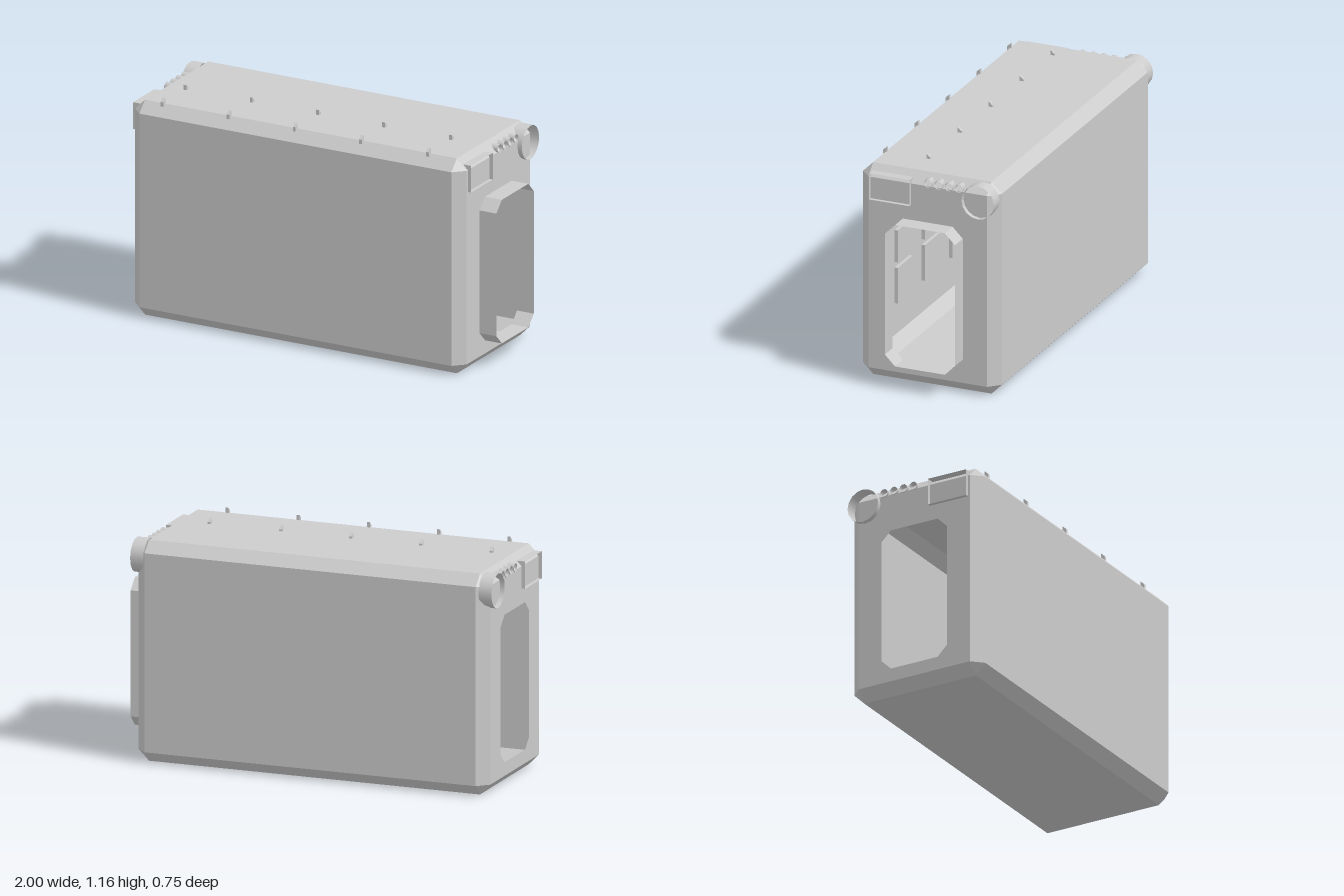
import * as THREE from 'three';
import { ConvexGeometry } from 'three/addons/geometries/ConvexGeometry.js';

const grey = new THREE.MeshStandardMaterial({ color: 0xcccccc, side: THREE.DoubleSide });
grey.name = 'plain grey';

const HX = 0.94, HZ = 0.377, H = 1.13, C = 0.056;

// rectangle with cut corners, as [z, y] points
function cutRect(hw, y0, y1, c) {
  return [[-hw + c, y0], [hw - c, y0], [hw, y0 + c], [hw, y1 - c],
    [hw - c, y1], [-hw + c, y1], [-hw, y1 - c], [-hw, y0 + c]];
}

// open tube along x with a [z, y] outline
function openSleeve(outline, x0, x1) {
  const pos = [];
  outline.forEach(([z, y], i) => {
    const [z2, y2] = outline[(i + 1) % outline.length];
    pos.push(x0, y, z, x1, y, z, x1, y2, z2, x0, y, z, x1, y2, z2, x0, y2, z2);
  });
  const g = new THREE.BufferGeometry();
  g.setAttribute('position', new THREE.Float32BufferAttribute(pos, 3));
  g.computeVertexNormals();
  return g;
}

// chamfered hollow skin without its two end faces
function skinGeometry() {
  const pts = [], hy = H / 2;
  for (const a of [-1, 1]) for (const b of [-1, 1]) for (const c of [-1, 1]) {
    pts.push(new THREE.Vector3(a * HX, b * (hy - C), c * (HZ - C)));
    pts.push(new THREE.Vector3(a * (HX - C), b * hy, c * (HZ - C)));
    pts.push(new THREE.Vector3(a * (HX - C), b * (hy - C), c * HZ));
  }
  const hull = new ConvexGeometry(pts);
  const p = hull.attributes.position, n = hull.attributes.normal, keep = [];
  for (let i = 0; i < p.count; i += 3) {
    if (Math.abs(n.getX(i)) > 0.99) continue;
    for (let k = i; k < i + 3; k++) keep.push(p.getX(k), p.getY(k) + hy, p.getZ(k));
  }
  const g = new THREE.BufferGeometry();
  g.setAttribute('position', new THREE.Float32BufferAttribute(keep, 3));
  g.computeVertexNormals();
  return g;
}

export function createModel() {
  const model = new THREE.Group();
  model.name = 'containerModule';
  const body = new THREE.Group();
  body.name = 'moduleAssembly';
  body.position.x = -0.035;
  model.add(body);
  const add = (name, geo, x = 0, y = 0, z = 0) => {
    const m = new THREE.Mesh(geo, grey);
    m.name = name;
    m.position.set(x, y, z);
    body.add(m);
    return m;
  };

  add('outerSkin', skinGeometry());

  // end walls with doorway holes
  const doorway = cutRect(0.19, 0.125, 0.88, 0.055);
  const wall = new THREE.Shape([[-1, 0], [1, 0], [1, 1], [-1, 1]].map(([s, t]) =>
    new THREE.Vector2(s * (HZ - C), t ? H - C : C)));
  wall.holes.push(new THREE.Path(doorway.map(([z, y]) => new THREE.Vector2(z, y))));
  const wallGeo = new THREE.ShapeGeometry(wall);

  // open round parts along x
  const lampGeo = new THREE.CylinderGeometry(0.088, 0.088, 0.07, 16, 1, true).rotateZ(Math.PI / 2);
  const stubGeo = new THREE.CylinderGeometry(0.022, 0.022, 0.055, 10, 1, true).rotateZ(Math.PI / 2);

  for (const s of [-1, 1]) {
    add('endWall', wallGeo, s * HX).rotation.y = s * Math.PI / 2;
    add('lampRing', lampGeo, s * 0.93, 1.04, -0.282);
    for (let i = 0; i < 4; i++) add('ventStub', stubGeo, s * 0.918, 1.09, -0.172 + i * 0.056);
    add('signFrame', openSleeve([[0.09, 0.96], [0.31, 0.96], [0.31, 1.1], [0.09, 1.1]],
      s * 0.9, s * 0.959));
  }

  // collar around one doorway
  add('doorCollar', openSleeve(doorway, HX, 1.035));

  // two rows of small roof cleats with slanted tops
  for (const x of [-0.78, -0.405, -0.03, 0.345, 0.725]) for (const s of [-1, 1]) {
    const g = new THREE.BoxGeometry(0.016, 0.045, 0.02);
    const p = g.attributes.position;
    for (let i = 0; i < p.count; i++) {
      if (p.getY(i) > 0 && p.getZ(i) * s > 0) p.setY(i, 0.005);
    }
    g.computeVertexNormals();
    add('roofCleat', g, x, 1.134, s > 0 ? 0.325 : 0.09);
  }

  // panels on the inside of the front wall
  for (let c = 0; c < 5; c++) for (const [y0, y1] of [[0.23, 0.42], [0.45, 0.62], [0.66, 0.86]]) {
    add('innerPanel', new THREE.BoxGeometry(0.18, y1 - y0, 0.018),
      -0.575 + c * 0.33, (y0 + y1) / 2, HZ - 0.011);
  }
  return model;
}
